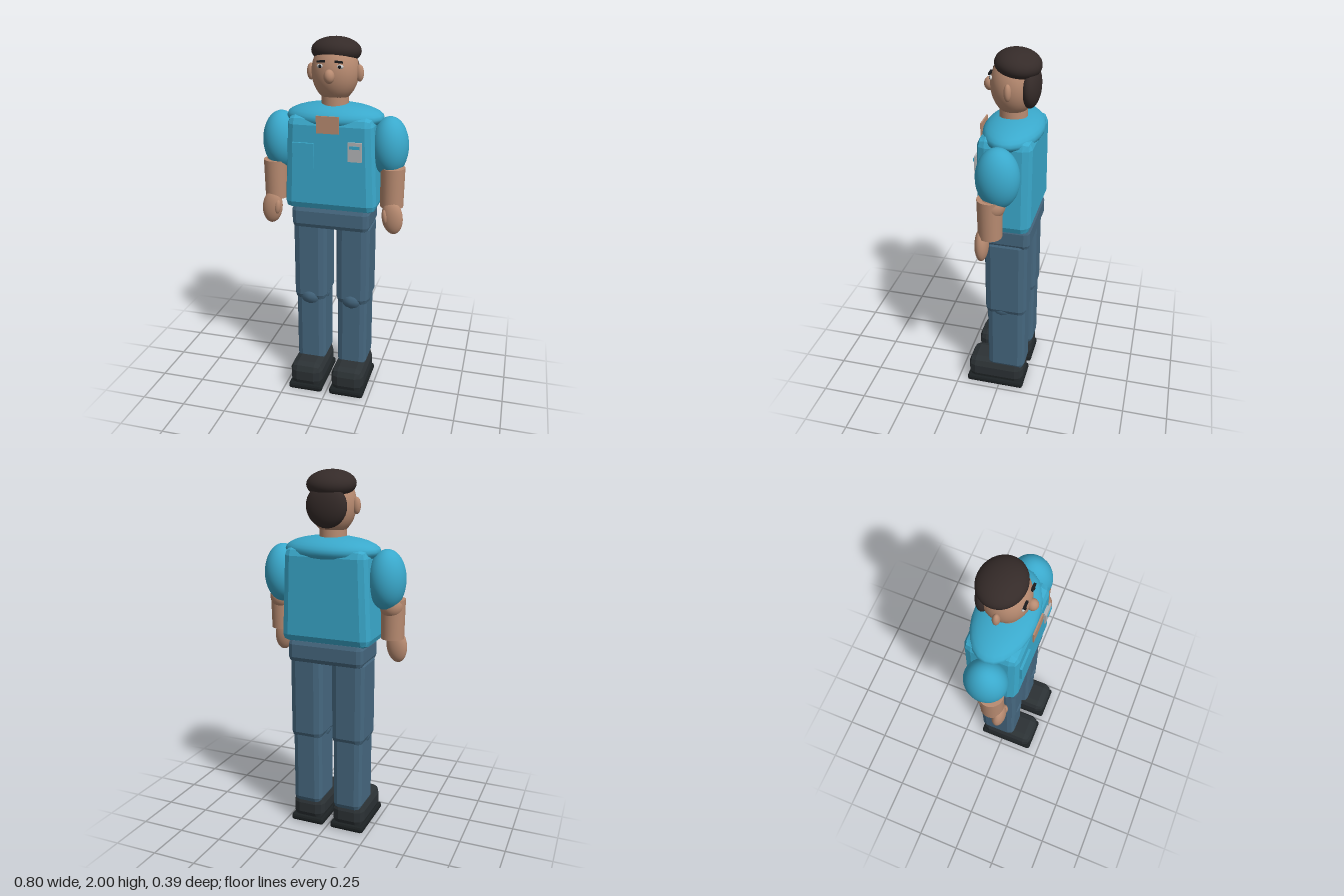
import * as THREE from 'three';
import { RoundedBoxGeometry } from 'three/addons/geometries/RoundedBoxGeometry.js';

const colors = {
  shirt: 0x3aa9cc, trousers: 0x466880, skin: 0xb88b71, hair: 0x352b29,
  shoe: 0x2c3235, sole: 0x1c2123, white: 0xe4e4e4, dark: 0x1b1b1d, badge: 0xb4b6b8,
};
const materials = {};
function material(name, flat) {
  const key = name + flat;
  materials[key] ??= new THREE.MeshStandardMaterial({ color: colors[name], flatShading: flat });
  return materials[key];
}

function add(parent, name, geometry, color, [x, y, z], flat = false) {
  const mesh = new THREE.Mesh(geometry, material(color, flat));
  mesh.name = name;
  mesh.position.set(x, y, z);
  parent.add(mesh);
  return mesh;
}

// Ellipsoid given by centre and radii
function ball(parent, name, color, centre, radii, around = 24, rows = 16) {
  const geometry = new THREE.SphereGeometry(1, around, rows).scale(...radii);
  return add(parent, name, geometry, color, centre);
}

// Bevelled block given by its extents, optionally narrower at the top
function block(parent, name, color, [x0, x1], [y0, y1], [z0, z1], bevel, taper = 1) {
  const h = y1 - y0;
  const geometry = new RoundedBoxGeometry(x1 - x0, h, z1 - z0, 1, bevel);
  const p = geometry.attributes.position;
  for (let i = 0; i < p.count; i++) {
    const s = THREE.MathUtils.lerp(1, taper, p.getY(i) / h + 0.5);
    p.setX(i, p.getX(i) * s);
  }
  return add(parent, name, geometry, color, [(x0 + x1) / 2, (y0 + y1) / 2, (z0 + z1) / 2], true);
}

function plate(parent, name, color, [w, h, d], centre) {
  return add(parent, name, new THREE.BoxGeometry(w, h, d), color, centre);
}

function buildLeg(s) {
  const leg = new THREE.Group();
  leg.name = s > 0 ? 'leftLeg' : 'rightLeg';
  const span = (a, b) => (s > 0 ? [a, b] : [-b, -a]);
  block(leg, 'sole', 'sole', span(0.022, 0.222), [0, 0.04], [-0.145, 0.195], 0.014);
  block(leg, 'shoe', 'shoe', span(0.027, 0.217), [0.02, 0.167], [-0.14, 0.19], 0.045);
  block(leg, 'shin', 'trousers', span(0.036, 0.206), [0.13, 0.6], [-0.147, 0.07], 0.035);
  ball(leg, 'knee', 'trousers', [s * 0.121, 0.56, -0.018], [0.094, 0.08, 0.11], 16, 10);
  block(leg, 'thigh', 'trousers', span(0.028, 0.216), [0.53, 1.03], [-0.155, 0.08], 0.04);
  return leg;
}

function buildArm(s) {
  const arm = new THREE.Group();
  arm.name = s > 0 ? 'leftArm' : 'rightArm';
  ball(arm, 'sleeve', 'shirt', [s * 0.299, 1.447, -0.026], [0.1, 0.16, 0.112], 32, 20);
  ball(arm, 'elbow', 'skin', [s * 0.322, 1.31, -0.008], [0.064, 0.07, 0.064]);
  const forearm = new THREE.CylinderGeometry(0.066, 0.062, 0.215, 24);
  add(arm, 'forearm', forearm, 'skin', [s * 0.325, 1.237, 0.008]);
  const hand = ball(arm, 'hand', 'skin', [s * 0.337, 1.08, 0.05], [0.057, 0.094, 0.036]);
  hand.rotation.z = s * 0.12;
  const thumb = ball(arm, 'thumb', 'skin', [s * 0.302, 1.085, 0.067], [0.018, 0.042, 0.019], 16, 10);
  thumb.rotation.z = s * 0.12;
  return arm;
}

function buildTorso() {
  const torso = new THREE.Group();
  torso.name = 'torso';
  block(torso, 'hips', 'trousers', [-0.216, 0.216], [0.983, 1.115], [-0.17, 0.096], 0.03);
  block(torso, 'shirtBody', 'shirt', [-0.254, 0.254], [1.095, 1.61], [-0.176, 0.107], 0.045, 0.9);
  ball(torso, 'shoulderYoke', 'shirt', [0, 1.592, -0.04], [0.265, 0.075, 0.155], 24, 14);
  plate(torso, 'openCollar', 'skin', [0.12, 0.09, 0.008], [0, 1.576, 0.122]);
  plate(torso, 'chestPocket', 'shirt', [0.115, 0.135, 0.012], [-0.135, 1.405, 0.113]);
  plate(torso, 'nameBadge', 'badge', [0.074, 0.102, 0.009], [0.145, 1.442, 0.122]);
  plate(torso, 'badgeStripe', 'shirt', [0.054, 0.016, 0.005], [0.145, 1.468, 0.132]);
  plate(torso, 'badgeMount', 'badge', [0.05, 0.07, 0.02], [0.145, 1.442, 0.11]);
  return torso;
}

function buildHead() {
  const head = new THREE.Group();
  head.name = 'head';
  add(head, 'neck', new THREE.CylinderGeometry(0.07, 0.075, 0.12, 24), 'skin', [0, 1.67, -0.034]);
  ball(head, 'skull', 'skin', [0, 1.825, -0.035], [0.124, 0.157, 0.118], 32, 20);
  ball(head, 'nose', 'skin', [0, 1.815, 0.088], [0.028, 0.036, 0.03], 16, 12);

  // Hair cap sits tipped back over a fuller nape
  const cap = ball(head, 'hairCap', 'hair', [0, 1.927, -0.056], [0.131, 0.072, 0.118], 32, 20);
  cap.rotation.x = -0.12;
  ball(head, 'hairNape', 'hair', [0, 1.82, -0.122], [0.112, 0.112, 0.05]);

  for (const s of [-1, 1]) {
    ball(head, 'ear', 'skin', [s * 0.13, 1.82, -0.033], [0.022, 0.044, 0.019], 16, 12);
    ball(head, 'eye', 'white', [s * 0.051, 1.863, 0.067], [0.019, 0.011, 0.009], 16, 10);
    ball(head, 'pupil', 'dark', [s * 0.051, 1.863, 0.074], [0.008, 0.009, 0.005], 12, 8);
    const brow = plate(head, 'eyebrow', 'dark', [0.042, 0.01, 0.012], [s * 0.046, 1.887, 0.072]);
    brow.rotation.z = -s * 0.08;
  }
  return head;
}

export function createModel() {
  const model = new THREE.Group();
  model.name = 'standingMan';
  for (const s of [-1, 1]) model.add(buildLeg(s), buildArm(s));
  model.add(buildTorso(), buildHead());
  return model;
}
